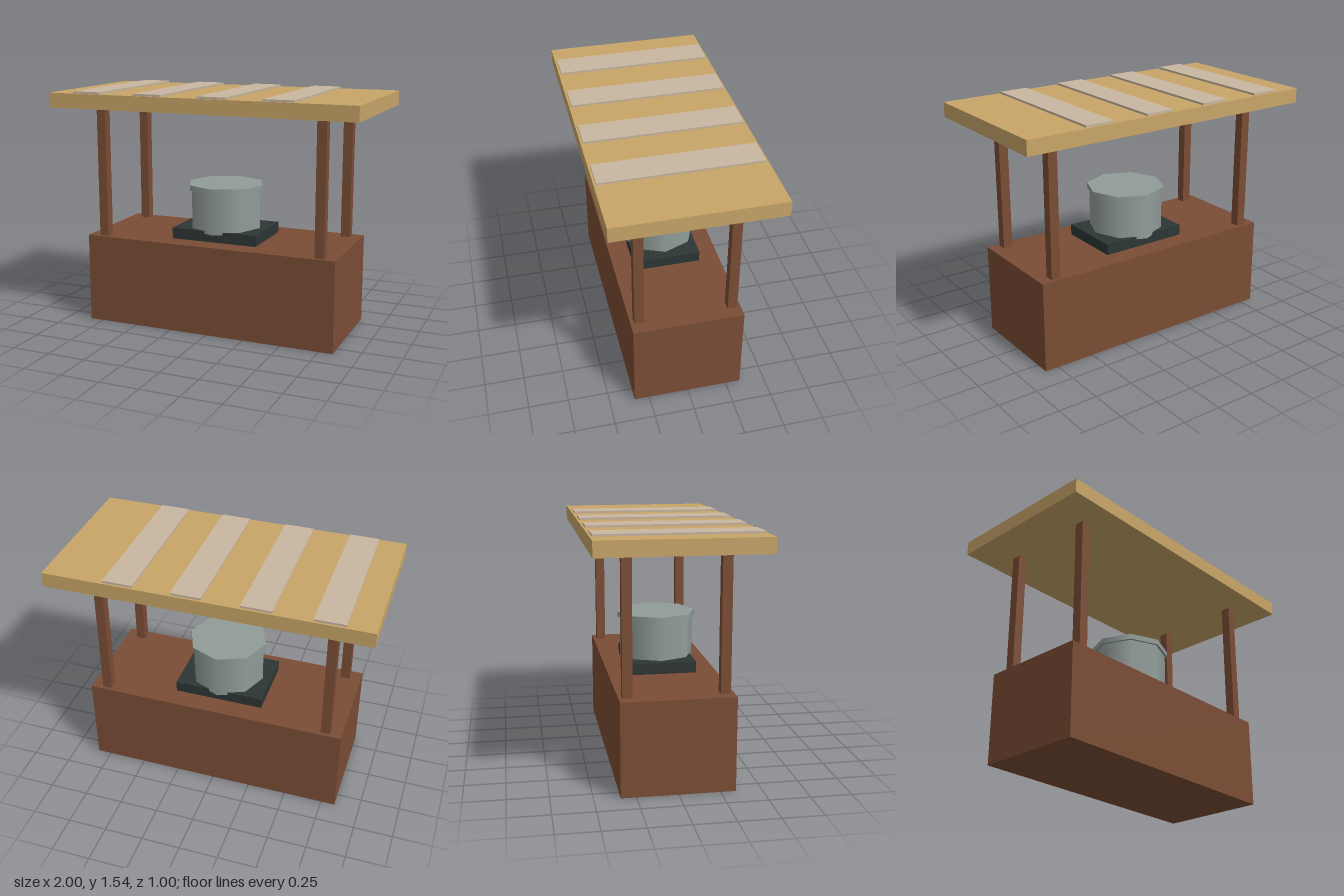
import * as THREE from 'three';

const mat = (name, color) => {
  const m = new THREE.MeshStandardMaterial({ color });
  m.name = name;
  return m;
};

export function createModel() {
  const group = new THREE.Group();
  const wood = mat('brown wood', 0x7b4d35);
  const thatch = mat('straw yellow', 0xc8a568);
  const slat = mat('pale beige', 0xc8b6a0);
  const iron = mat('dark iron', 0x2d3535);
  const metal = mat('grey metal', 0x919d99);

  const add = (name, geometry, material, x, y, z) => {
    const mesh = new THREE.Mesh(geometry, material);
    mesh.name = name;
    mesh.position.set(x, y, z);
    group.add(mesh);
  };
  // Box spanning y0 to y1
  const box = (name, material, w, d, y0, y1, x = 0, z = 0) =>
    add(name, new THREE.BoxGeometry(w, y1 - y0, d), material, x, (y0 + y1) / 2, z);
  // Smooth-shaded eight-sided drum spanning y0 to y1
  const drum = (name, material, r, y0, y1) =>
    add(name, new THREE.CylinderGeometry(r, r, y1 - y0, 8), material, 0, (y0 + y1) / 2, 0);

  // Stall counter and corner posts
  box('counter', wood, 1.68, 0.686, 0, 0.58);
  for (const x of [-0.735, 0.735])
    for (const z of [-0.29, 0.29]) box('post', wood, 0.06, 0.06, 0.58, 1.43, x, z);

  // Roof slab with four raised slats
  box('roof', thatch, 2, 1, 1.43, 1.523);
  for (let i = 0; i < 4; i++) box('roofSlat', slat, 0.187, 0.972, 1.52, 1.536, -0.738 + i * 0.42);

  // Stove and lidded cooking pot
  box('stove', iron, 0.577, 0.422, 0.58, 0.65);
  drum('potBody', metal, 0.237, 0.632, 0.9);
  drum('potLid', metal, 0.252, 0.897, 0.932);

  return group;
}
